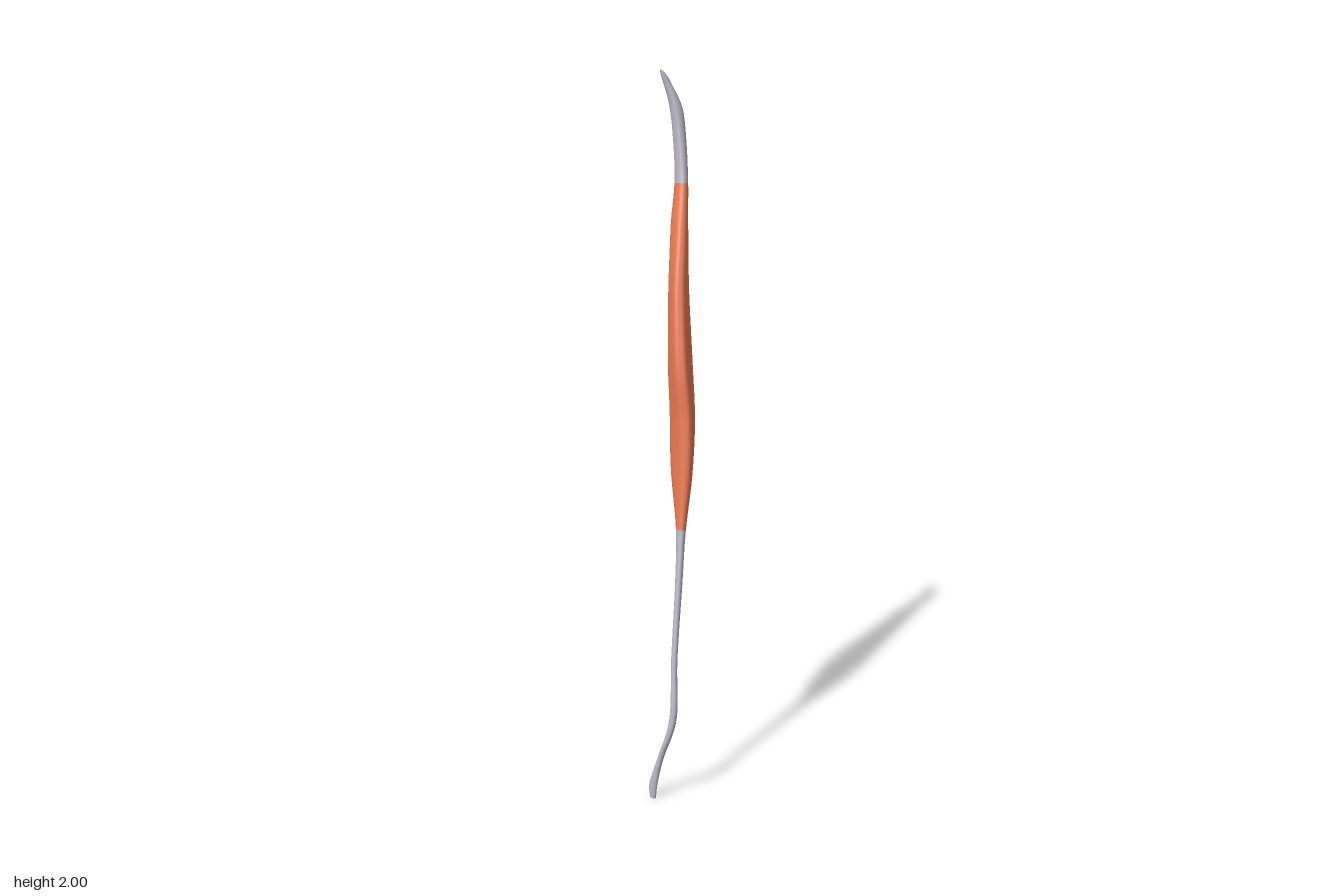
import * as THREE from 'three';

// Cross-sections, bottom to top: y, x min, x max, z min, z max,
// phase in degrees (90 = upright ellipse, smaller = thin diagonal)
const SECTIONS = [
  [0.0, 0.076, 0.096, 0.198, 0.213, 75],
  [0.04, 0.072, 0.099, 0.194, 0.212, 80],
  [0.12, 0.094, 0.112, 0.183, 0.203, 85],
  [0.24, 0.122, 0.143, 0.163, 0.185, 85],
  [0.40, 0.103, 0.122, 0.128, 0.148, 80],
  [0.60, 0.077, 0.101, 0.068, 0.095, 70],
  [0.75, 0.048, 0.086, 0.018, 0.057, 62],
  [0.90, -0.010, 0.081, -0.055, 0.030, 54],
  [1.05, -0.048, 0.069, -0.113, 0.010, 47],
  [1.20, -0.066, 0.046, -0.145, -0.001, 46],
  [1.40, -0.082, 0.007, -0.163, -0.048, 49],
  [1.57, -0.098, -0.028, -0.182, -0.111, 57],
  [1.69, -0.102, -0.051, -0.200, -0.153, 64],
  [1.80, -0.113, -0.069, -0.211, -0.170, 74],
  [1.90, -0.126, -0.089, -0.213, -0.175, 90],
  [1.98, -0.146, -0.126, -0.200, -0.166, 115],
];
const LOWER_JOIN = 6, UPPER_JOIN = 12, LAST = SECTIONS.length - 1;
const SIDES = 32, STEPS = 8;

const spline = (pick) => new THREE.CatmullRomCurve3(
  SECTIONS.map((s) => new THREE.Vector3(...pick(s))), false, 'catmullrom', 0.5);
const lowCorner = spline((s) => [s[1], s[0], s[3]]);
const highCorner = spline((s) => [s[2], s[0], s[4]]);
const phases = spline((s) => [s[5], 0, 0]);

// Lofts the sections from one index to another, closing both ends
function loft(from, to, ripple) {
  const positions = [], indices = [];
  const rings = (to - from) * STEPS;
  for (let i = 0; i <= rings; i++) {
    const t = (from + i / STEPS) / LAST;
    const lo = lowCorner.getPoint(t), hi = highCorner.getPoint(t);
    const phase = THREE.MathUtils.degToRad(phases.getPoint(t).x);
    const c = lo.clone().add(hi).multiplyScalar(0.5);
    const hx = (hi.x - lo.x) / 2, hz = (hi.z - lo.z) / 2;
    // the hooked top end is cut on a slant
    const tilt = Math.max(0, c.y - 1.86) * 9.5;
    const swell = Math.sin(Math.PI * i / rings);
    for (let j = 0; j < SIDES; j++) {
      const a = (j / SIDES) * Math.PI * 2;
      // shallow lengthwise fibre grooves
      const r = 1 + ripple * swell * Math.sin(7 * a + 1.5 * t);
      const dz = hz * r * Math.cos(a - phase);
      positions.push(c.x + hx * r * Math.cos(a), c.y + tilt * dz, c.z + dz);
    }
  }
  for (let i = 0; i < rings; i++) {
    for (let j = 0; j < SIDES; j++) {
      const p = i * SIDES + j, q = i * SIDES + (j + 1) % SIDES;
      indices.push(p, p + SIDES, q, q, p + SIDES, q + SIDES);
    }
  }
  // end caps, on their own vertices so the rims stay crisp
  for (const [ring, top] of [[0, false], [rings, true]]) {
    const base = positions.length / 3;
    for (let j = 0; j < SIDES; j++) {
      const p = (ring * SIDES + j) * 3;
      positions.push(positions[p], positions[p + 1], positions[p + 2]);
    }
    for (let j = 1; j < SIDES - 1; j++) {
      if (top) indices.push(base, base + j + 1, base + j);
      else indices.push(base, base + j, base + j + 1);
    }
  }
  const geometry = new THREE.BufferGeometry();
  geometry.setAttribute('position', new THREE.Float32BufferAttribute(positions, 3));
  geometry.setIndex(indices);
  geometry.computeVertexNormals();
  return geometry;
}

export function createModel() {
  const model = new THREE.Group();
  model.name = 'muscle';
  const tendon = new THREE.MeshStandardMaterial({ color: 0xb8b4c4 });
  const flesh = new THREE.MeshStandardMaterial({ color: 0xe87850 });
  const add = (name, geometry, material) => {
    const mesh = new THREE.Mesh(geometry, material);
    mesh.name = name;
    model.add(mesh);
  };
  add('lowerTendon', loft(0, LOWER_JOIN, 0), tendon);
  add('muscleBelly', loft(LOWER_JOIN, UPPER_JOIN, 0.035), flesh);
  add('upperTendon', loft(UPPER_JOIN, LAST, 0), tendon);
  return model;
}
